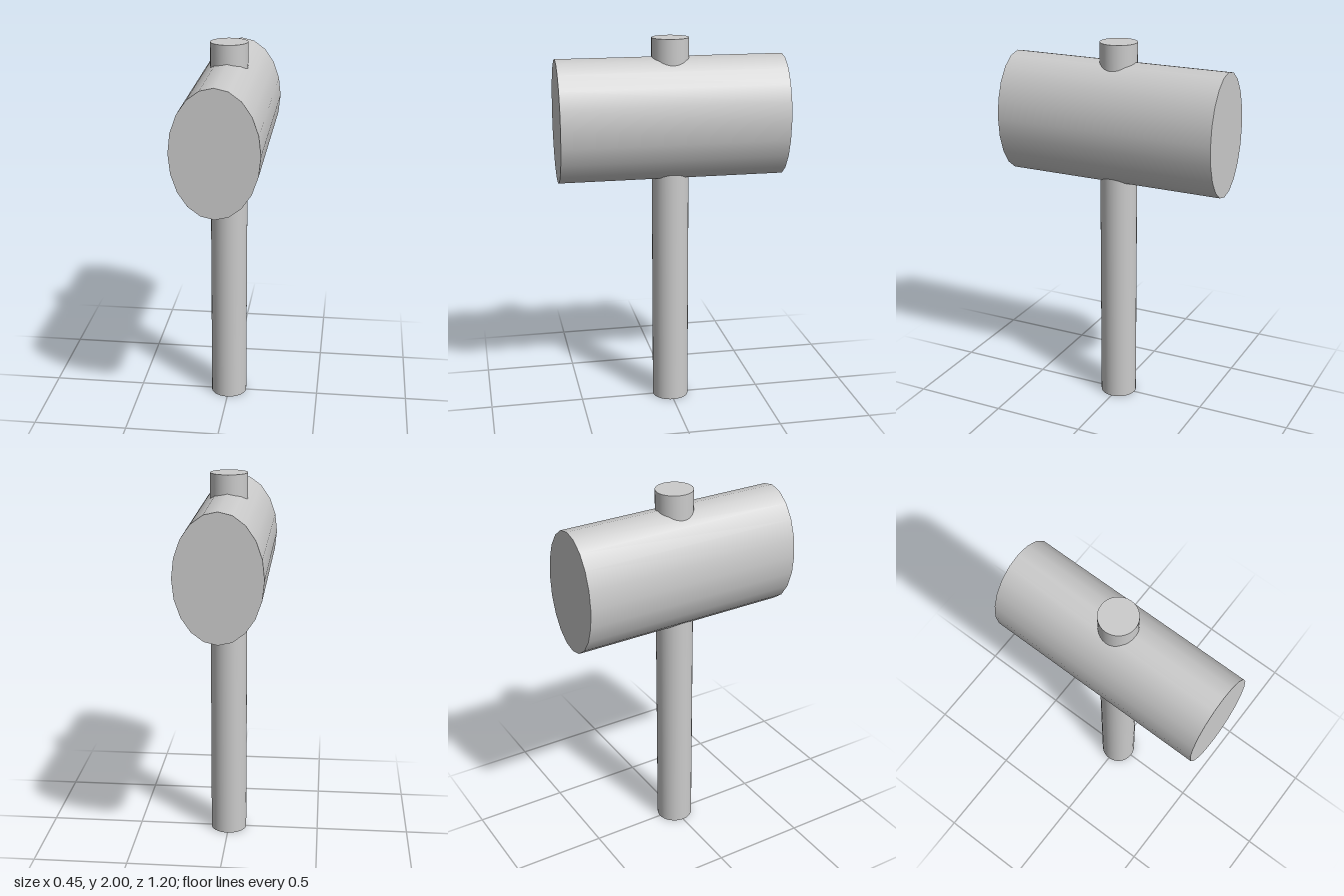
import * as THREE from 'three';

export function createModel() {
  const model = new THREE.Group();
  model.name = 'mallet';
  const material = new THREE.MeshStandardMaterial({ color: 0xcccccc });

  // Adds a named solid to the model
  function addPart(name, geometry, y) {
    const mesh = new THREE.Mesh(geometry, material);
    mesh.name = name;
    mesh.position.y = y;
    model.add(mesh);
  }

  // Straight round handle, passing right through the head
  addPart('handle', new THREE.CylinderGeometry(0.098, 0.098, 2, 32), 1);

  // Oval head lying along z, taller than it is wide
  const head = new THREE.CylinderGeometry(1, 1, 1.2, 20);
  head.rotateX(Math.PI / 2);
  head.scale(0.223, 0.325, 1);
  addPart('head', head, 1.578);

  return model;
}
